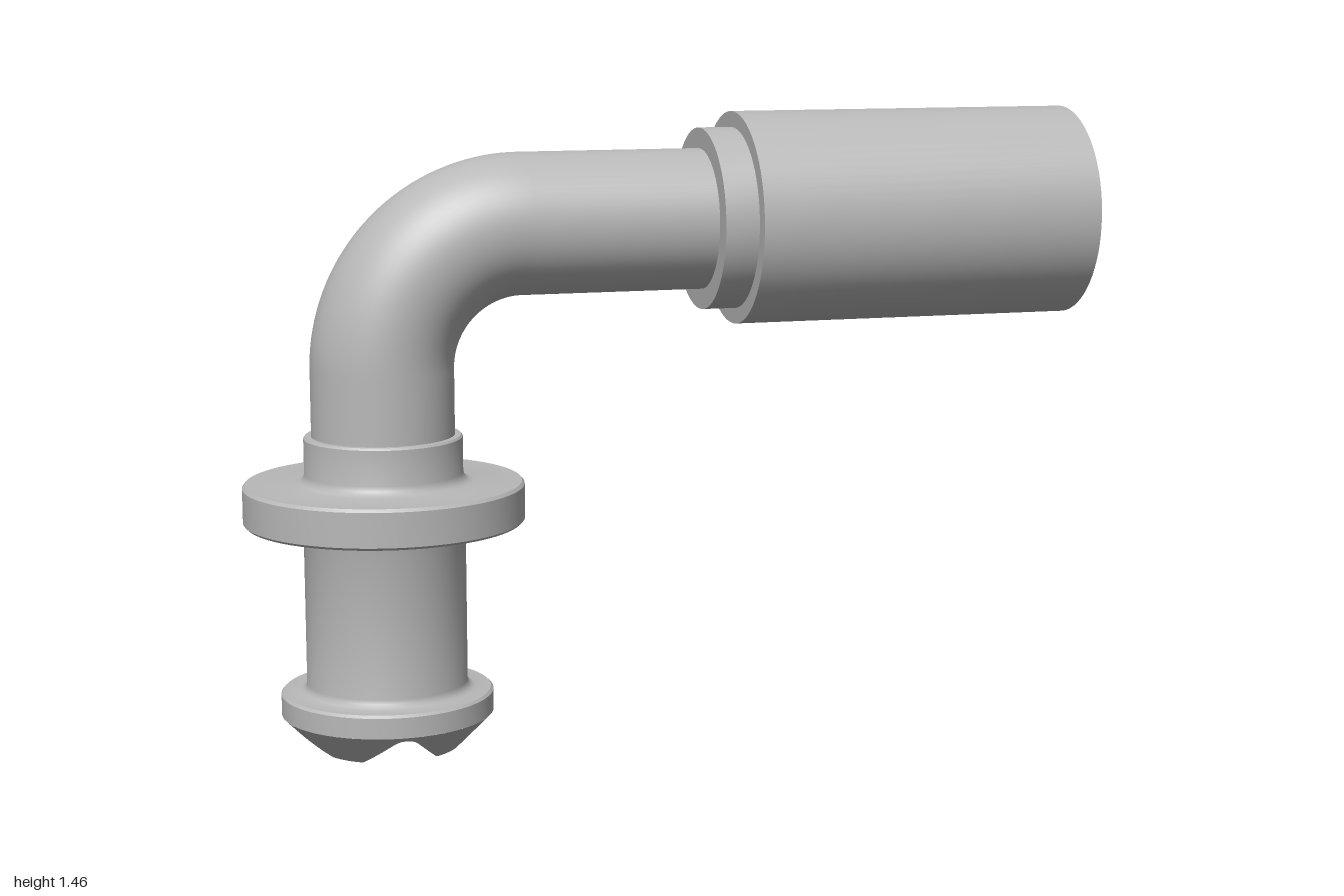
import * as THREE from 'three';
import { toCreasedNormals } from 'three/addons/utils/BufferGeometryUtils.js';

const AXIS_X = -0.675;   // upright axis
const AXIS_Y = 1.213;    // hose axis
const BEND = 0.325;      // bend centreline radius
const PIPE_R = 0.165;
const RIM_R = 0.247;

function lathe(profile) {
  const points = profile.map(([r, y]) => new THREE.Vector2(r, y));
  return toCreasedNormals(new THREE.LatheGeometry(points, 72), 0.6);
}

// Conical tip with two crossed, round-topped grooves
function tipGeometry() {
  const flatR = 0.168, coneTop = 0.08;
  const groove = [[0, 0.07], [0.012, 0.069], [0.022, 0.064], [0.032, 0.055], [0.086, 0]];
  const grooveHeight = (t) => {
    for (let i = 1; i < groove.length; i++) {
      const [t0, h0] = groove[i - 1], [t1, h1] = groove[i];
      if (t <= t1) return h0 + (h1 - h0) * (t - t0) / (t1 - t0);
    }
    return 0;
  };
  const cone = (r) => (r - flatR) / (RIM_R - flatR) * coneTop;

  // one radial section, with points exactly on every edge of the grooves
  const column = (angle) => {
    const c = Math.cos(angle), n = Math.sin(angle);
    const s = Math.max(Math.min(Math.abs(c), Math.abs(n)), 1e-6);
    let lo = flatR, hi = RIM_R;
    for (let i = 0; i < 40; i++) {
      const mid = (lo + hi) / 2;
      if (cone(mid) < grooveHeight(mid * s)) lo = mid; else hi = mid;
    }
    const radii = groove.map(([t]) => Math.min(t / s, hi));
    const points = [...radii, hi].map((r) => [r * c, grooveHeight(r * s), r * n]);
    points.push([RIM_R * c, coneTop, RIM_R * n]);
    return points;
  };

  const positions = [];
  const segments = 144;
  for (let i = 0; i < segments; i++) {
    const a = column(i / segments * Math.PI * 2);
    const b = column((i + 1) / segments * Math.PI * 2);
    for (let k = 0; k < a.length - 1; k++) {
      positions.push(...a[k], ...a[k + 1], ...b[k + 1], ...a[k], ...b[k + 1], ...b[k]);
    }
  }
  const geometry = new THREE.BufferGeometry();
  geometry.setAttribute('position', new THREE.Float32BufferAttribute(positions, 3));
  return toCreasedNormals(geometry, 0.5);
}

export function createModel() {
  const model = new THREE.Group();
  model.name = 'elbowFitting';
  const metal = new THREE.MeshStandardMaterial({ color: 0xb8b8b8 });
  metal.name = 'grey metal';

  const add = (name, geometry, x, y, rotationZ = 0) => {
    const mesh = new THREE.Mesh(geometry, metal);
    mesh.name = name;
    mesh.position.set(x, y, 0);
    mesh.rotation.z = rotationZ;
    model.add(mesh);
  };

  // Upright plug: lower rim, barrel, flange and collar, with small fillets
  add('plugBody', lathe([
    [RIM_R, 0.08], [RIM_R, 0.128], [0.241, 0.134],
    [0.204, 0.134], [0.195, 0.138], [0.189, 0.145], [0.187, 0.154],
    [0.187, 0.518], [0.19, 0.527], [0.198, 0.532],
    [0.319, 0.532], [0.325, 0.538], [0.325, 0.618], [0.319, 0.625],
    [0.206, 0.625], [0.194, 0.629], [0.186, 0.637], [0.183, 0.648],
    [0.183, 0.73], [0.179, 0.735], [0.15, 0.735],
  ]), AXIS_X, 0);
  add('groovedTip', tipGeometry(), AXIS_X, 0);

  // Bent pipe
  const bendX = AXIS_X + BEND, bendY = AXIS_Y - BEND;
  const pipe = (length) => new THREE.CylinderGeometry(PIPE_R, PIPE_R, length, 64, 1, true);
  add('uprightPipe', pipe(bendY - 0.7), AXIS_X, (bendY + 0.7) / 2);
  add('pipeBend', new THREE.TorusGeometry(BEND, PIPE_R, 64, 40, Math.PI / 2), bendX, bendY, Math.PI / 2);
  add('levelPipe', pipe(0.12 - bendX), (0.12 + bendX) / 2, AXIS_Y, -Math.PI / 2);

  // Hose sleeve with stepped collar, open recess, inner tube and bore
  add('hoseSleeve', lathe([
    [0.15, 0.085], [0.213, 0.085], [0.213, 0.165], [0.25, 0.165],
    [0.25, 1], [0.224, 1], [0.214, 0.985], [0.214, 0.89],
    [0.154, 0.89], [0.154, 0.985], [0.14, 1], [0.108, 1],
    [0.108, 0.3], [0, 0.24],
  ]), 0, AXIS_Y, -Math.PI / 2);

  return model;
}
